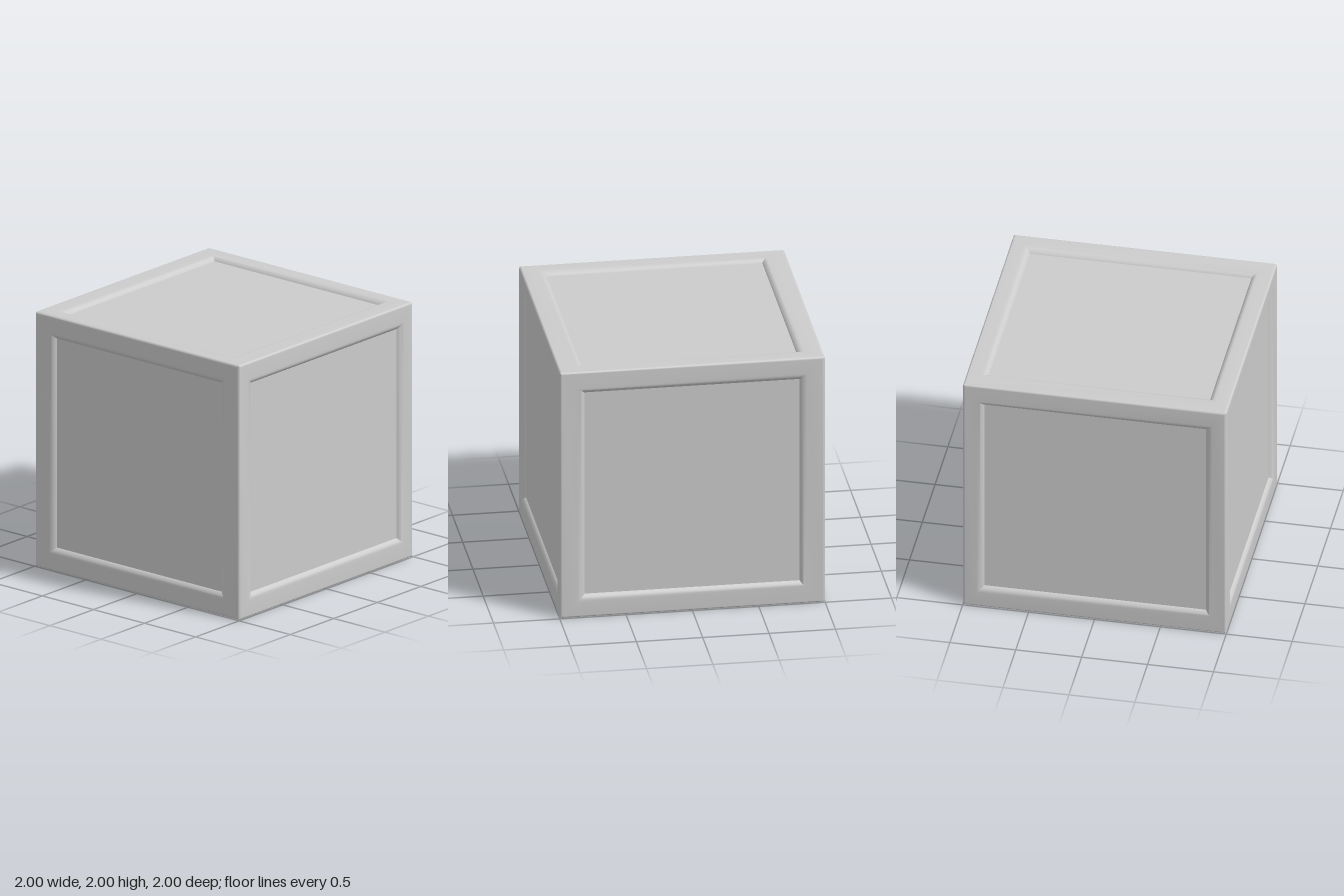
import * as THREE from 'three';
import { mergeGeometries, toCreasedNormals } from 'three/addons/utils/BufferGeometryUtils.js';

const HALF = 1;                                 // half the cube's edge
const EDGE = 0.02;                              // rounding of the outer edges
const LIP = 0.06;                               // rounding of the inner lips
const DEPTH = 0.03;                             // how far the panels are sunk
const INNER = { x: 0.84, y: 0.82, z: 0.81 };    // half sizes of the panels
const Q = Math.PI / 2;

// One entry per side: name, half sizes of its panel, rotation from facing +z
const SIDES = [
  ['front', INNER.x, INNER.y, 0, 0],
  ['back', INNER.x, INNER.y, 0, 2 * Q],
  ['left', INNER.z, INNER.y, 0, Q],
  ['right', INNER.z, INNER.y, 0, -Q],
  ['top', INNER.x, INNER.z, -Q, 0],
  ['bottom', INNER.x, INNER.z, Q, 0],
];

// Rectangular rings [half width, half height, level], from outer edge to panel
function frameRings(u, v) {
  const rings = [];
  for (let i = 4; i >= 0; i--) {
    const t = (i / 4) * Math.PI / 4;
    const h = HALF - EDGE + EDGE * Math.sin(t);
    rings.push([h, h, HALF - EDGE + EDGE * Math.cos(t)]);
  }
  const end = Math.acos(1 - DEPTH / LIP);
  for (let i = 0; i <= 8; i++) {
    const t = (i / 8) * end;
    const grow = LIP * (Math.sin(end) - Math.sin(t));
    rings.push([u + grow, v + grow, HALF - LIP + LIP * Math.cos(t)]);
  }
  return rings;
}

// Mitred frame of one side, facing +z
function frameSide(u, v) {
  const corners = [[-1, -1], [1, -1], [1, 1], [-1, 1]];
  const rings = frameRings(u, v);
  const at = (ring, k) => {
    const [sx, sy] = corners[k % 4];
    return [sx * ring[0], sy * ring[1], ring[2]];
  };
  const pos = [];
  for (let i = 0; i < rings.length - 1; i++) {
    for (let k = 0; k < 4; k++) {
      const a = at(rings[i], k), b = at(rings[i], k + 1);
      const c = at(rings[i + 1], k + 1), d = at(rings[i + 1], k);
      pos.push(...a, ...b, ...c, ...a, ...c, ...d);
    }
  }
  const geo = new THREE.BufferGeometry();
  geo.setAttribute('position', new THREE.Float32BufferAttribute(pos, 3));
  return geo;
}

export function createModel() {
  const group = new THREE.Group();
  group.name = 'panelledCube';
  const material = new THREE.MeshStandardMaterial({ color: 0xcccccc });

  // Frame: six sides joined along the rounded edges
  const sides = SIDES.map(([, u, v, rx, ry]) => frameSide(u, v).rotateX(rx).rotateY(ry));
  // Enlarged while creasing so that the fine steps stay distinct
  const frameGeo = toCreasedNormals(mergeGeometries(sides).scale(100, 100, 100), 0.5);
  frameGeo.scale(0.01, 0.01, 0.01);
  const frame = new THREE.Mesh(frameGeo, material);
  frame.name = 'frame';
  frame.position.y = HALF;
  group.add(frame);

  // Sunken panels
  for (const [name, u, v, rx, ry] of SIDES) {
    const geo = new THREE.PlaneGeometry(2 * u, 2 * v).translate(0, 0, HALF - DEPTH);
    const panel = new THREE.Mesh(geo.rotateX(rx).rotateY(ry), material);
    panel.name = name + 'Panel';
    panel.position.y = HALF;
    group.add(panel);
  }
  return group;
}
